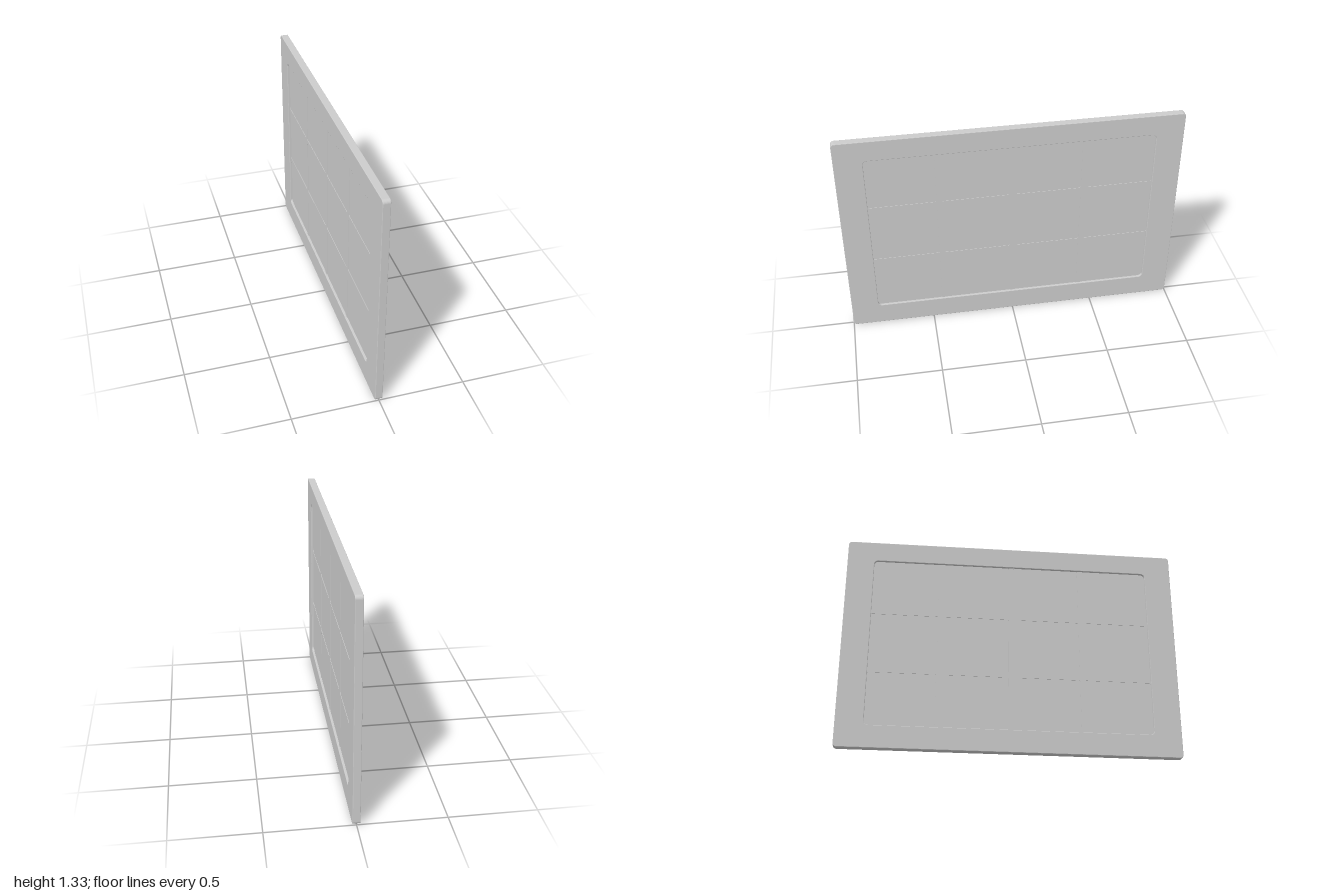
import * as THREE from 'three';

const HEIGHT = 1.326, HALF_LENGTH = 1, THICKNESS = 0.044;
const OPENING = { z0: -0.838, z1: 0.838, y0: 0.136, y1: 1.2 };
const BAR = 0.029; // glazing bar width
const BAR_Z = [-0.424, 0.002, 0.427];
const BAR_Y = [0.479, 0.857];

const material = new THREE.MeshStandardMaterial({ color: 0xcccccc });

// Rounded rectangle outline
function roundedRect(target, x0, y0, x1, y1, r) {
  target.moveTo(x0 + r, y0);
  target.lineTo(x1 - r, y0);
  target.absarc(x1 - r, y0 + r, r, -Math.PI / 2, 0);
  target.lineTo(x1, y1 - r);
  target.absarc(x1 - r, y1 - r, r, 0, Math.PI / 2);
  target.lineTo(x0 + r, y1);
  target.absarc(x0 + r, y1 - r, r, Math.PI / 2, Math.PI);
  target.lineTo(x0, y0 + r);
  target.absarc(x0 + r, y0 + r, r, Math.PI, Math.PI * 1.5);
  return target;
}

// Extrudes a (z, y) outline symmetrically about x = 0
function slab(name, shape, thickness, bevel) {
  const geometry = new THREE.ExtrudeGeometry(shape, {
    depth: thickness - 2 * bevel,
    bevelEnabled: bevel > 0,
    bevelSize: bevel,
    bevelThickness: bevel,
    bevelOffset: -bevel,
    bevelSegments: 2,
    curveSegments: 6,
  });
  geometry.translate(0, 0, bevel - thickness / 2);
  geometry.rotateY(-Math.PI / 2);
  const mesh = new THREE.Mesh(geometry, material);
  mesh.name = name;
  return mesh;
}

export function createModel() {
  const group = new THREE.Group();
  group.name = 'windowPanel';
  const { z0, z1, y0, y1 } = OPENING;

  // Outer frame with softened edges
  const frame = roundedRect(new THREE.Shape(), -HALF_LENGTH, 0, HALF_LENGTH, HEIGHT, 0.02);
  frame.holes.push(roundedRect(new THREE.Path(), z0, y0, z1, y1, 0.025));
  group.add(slab('frame', frame, THICKNESS, 0.003));

  // Recessed pane, its edges tucked into the frame
  const pane = roundedRect(new THREE.Shape(), z0 - 0.02, y0 - 0.02, z1 + 0.02, y1 + 0.02, 0.02);
  group.add(slab('pane', pane, 0.016, 0));

  // Shallow lattice of glazing bars, filleted where they cross
  const lattice = roundedRect(new THREE.Shape(), z0 - 0.01, y0 - 0.01, z1 + 0.01, y1 + 0.01, 0.02);
  const columns = [z0 - BAR / 2, ...BAR_Z, z1 + BAR / 2];
  const rows = [y0 - BAR / 2, ...BAR_Y, y1 + BAR / 2];
  for (let i = 0; i < columns.length - 1; i++) {
    for (let j = 0; j < rows.length - 1; j++) {
      lattice.holes.push(roundedRect(new THREE.Path(),
        columns[i] + BAR / 2, rows[j] + BAR / 2,
        columns[i + 1] - BAR / 2, rows[j + 1] - BAR / 2, 0.008));
    }
  }
  group.add(slab('glazingBars', lattice, 0.021, 0));

  return group;
}
